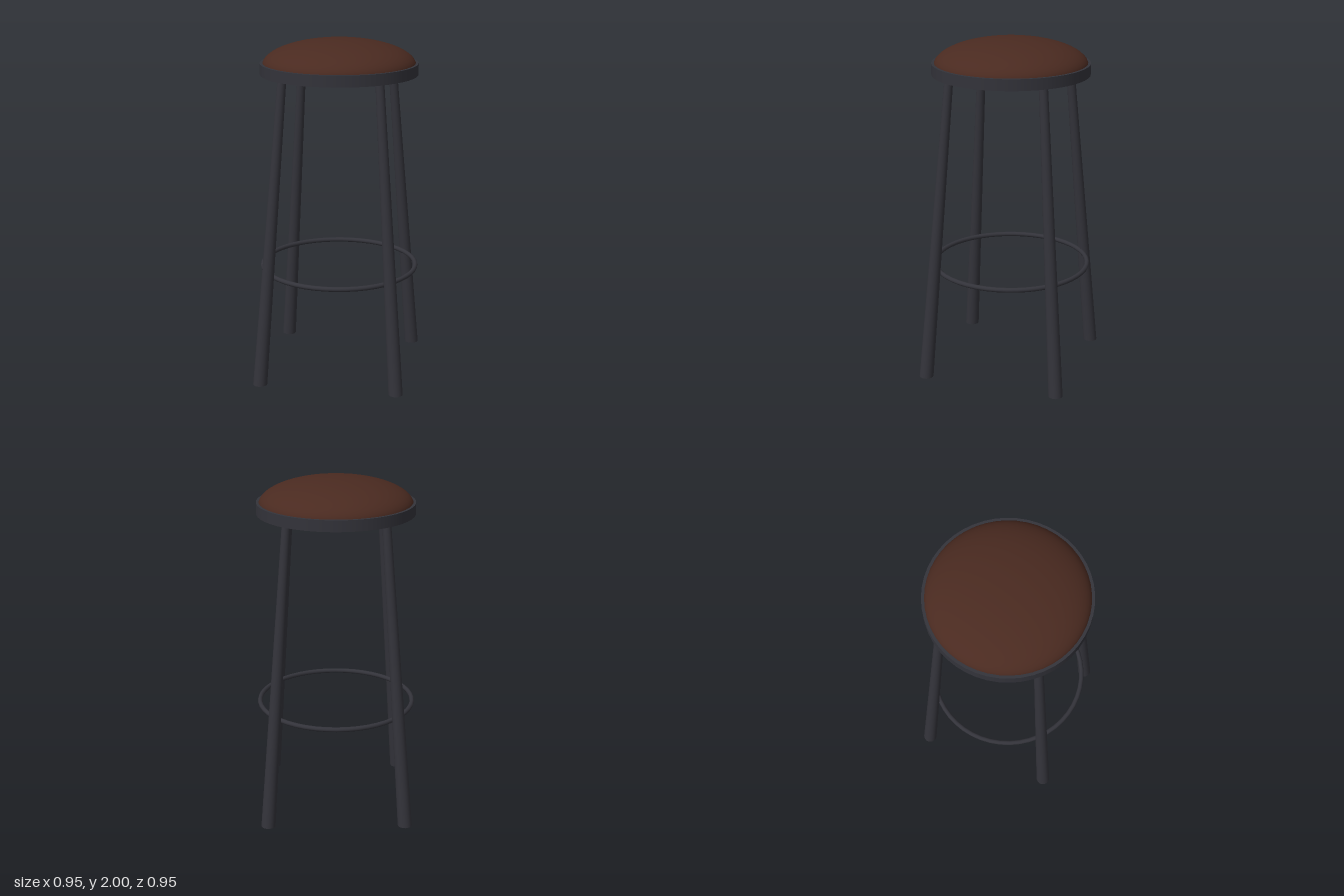
import * as THREE from 'three';

export function createModel() {
  const stool = new THREE.Group();
  stool.name = 'stool';

  const metal = new THREE.MeshStandardMaterial({ color: 0x33333a });
  metal.name = 'dark metal';
  const leather = new THREE.MeshStandardMaterial({ color: 0x4a2a20 });
  leather.name = 'brown leather';

  function add(name, geometry, material, y = 0) {
    const mesh = new THREE.Mesh(geometry, material);
    mesh.name = name;
    mesh.position.y = y;
    stool.add(mesh);
  }

  // Domed cushion: the upper half of a flattened sphere, set into the rim
  const dome = new THREE.SphereGeometry(1, 48, 16, 0, Math.PI * 2, 0, Math.PI / 2);
  dome.scale(0.443, 0.15, 0.443);
  add('seatCushion', dome, leather, 1.85);

  // Seat rim, closed underneath
  add('seatRim', new THREE.CylinderGeometry(0.457, 0.457, 0.065, 48), metal, 1.8325);

  // Four tapered legs, splayed outwards along the diagonals with level feet
  const legHeight = 1.81, footAt = 0.404, topAt = 0.275;
  const lean = (topAt - footAt) / legHeight;
  for (const [side, sx] of [['Left', 1], ['Right', -1]]) {
    for (const [end, sz] of [['front', 1], ['back', -1]]) {
      const leg = new THREE.CylinderGeometry(0.025, 0.042, legHeight, 20);
      leg.translate(0, legHeight / 2, 0);
      leg.applyMatrix4(new THREE.Matrix4().set(
        1, sx * lean, 0, sx * footAt,
        0, 1, 0, 0,
        0, sz * lean, 1, sz * footAt,
        0, 0, 0, 1));
      add(`${end}${side}Leg`, leg, metal);
    }
  }

  // Round footrest held inside the legs
  const ring = new THREE.TorusGeometry(0.459, 0.014, 10, 48);
  ring.rotateX(Math.PI / 2);
  add('footrestRing', ring, metal, 0.645);

  return stool;
}
